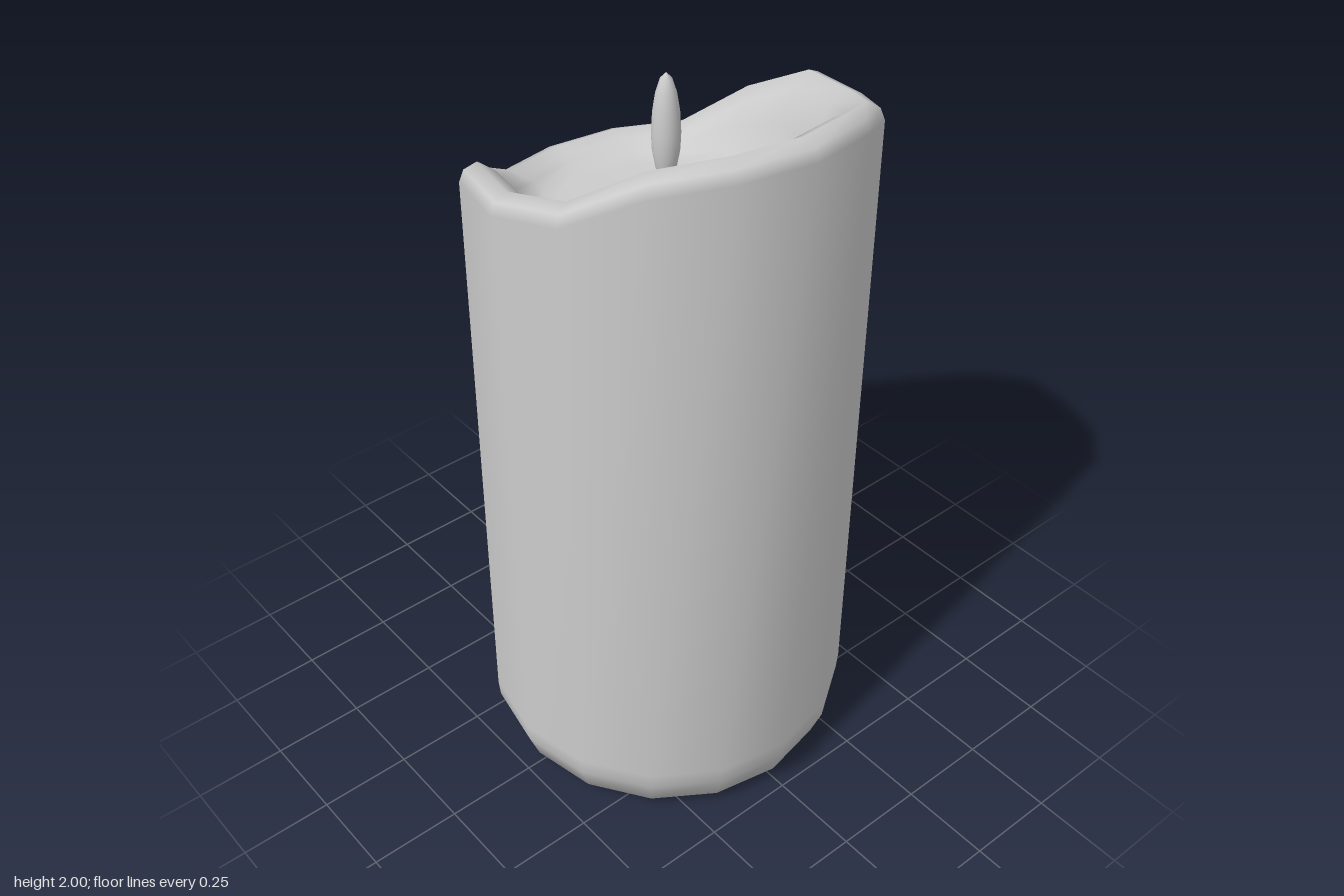
import * as THREE from 'three';

const SIDES = 16;
const FLOOR = 1.575;
// Rim height per side, starting at the front and turning towards +x
const RIM = [2.0, 1.987, 1.92, 1.86, 1.835, 1.74, 1.62, 1.61, 1.605, 1.61, 1.71, 1.82, 1.835, 1.875, 1.975, 2.0];
// Dent in the lower bevel
const DENT = { 4: 0.012, 5: 0.025, 6: 0.018 };

// Cross-section [radius, height] of the wax at one side, from bottom opening to pool centre
function section(k) {
  const top = RIM[k];
  const depth = top - FLOOR;
  const dent = DENT[k] || 0;
  const back = Math.max(0, -Math.cos((k / SIDES) * Math.PI * 2));
  const lean = 0.022 * back; // the back wall tapers inwards
  return [
    [0.37, 0.005],
    [0.46 - dent, 0.04],
    [0.49 - dent, 0.12],
    [0.494, 0.17],
    [0.494 - lean, top - 0.045],
    [0.482 - lean, top - 0.015],
    [0.45 - lean, top],
    [0.405 - lean * 0.5, top - Math.min(0.03, depth * 0.3)],
    [0.365, FLOOR + depth * 0.55],
    [0.34, FLOOR + depth * 0.18],
    [0.30, FLOOR + depth * 0.03],
    [0.2, FLOOR],
    [0.0, FLOOR],
  ];
}

function waxGeometry() {
  const positions = [];
  const index = [];
  const rings = section(0).length;
  for (let k = 0; k < SIDES; k++) {
    const a = (k / SIDES) * Math.PI * 2;
    for (const [r, y] of section(k)) positions.push(r * Math.sin(a), y, r * Math.cos(a));
  }
  for (let k = 0; k < SIDES; k++) {
    const c = k * rings;
    const n = ((k + 1) % SIDES) * rings;
    for (let i = 0; i < rings - 1; i++) {
      index.push(c + i, n + i, n + i + 1);
      if (i < rings - 2) index.push(c + i, n + i + 1, c + i + 1);
    }
  }
  const g = new THREE.BufferGeometry();
  g.setAttribute('position', new THREE.Float32BufferAttribute(positions, 3));
  g.setIndex(index);
  g.computeVertexNormals();
  return g;
}

export function createModel() {
  const group = new THREE.Group();
  group.name = 'candle';
  const grey = new THREE.MeshStandardMaterial({ color: 0xcccccc });
  const shell = new THREE.MeshStandardMaterial({ color: 0xcccccc, side: THREE.DoubleSide });

  const add = (name, geometry, material, y) => {
    const mesh = new THREE.Mesh(geometry, material);
    mesh.name = name;
    mesh.position.y = y;
    group.add(mesh);
  };

  // Hollow wax body with a slanted, melted rim
  add('waxBody', waxGeometry(), shell, 0);

  // Wick standing in the pool
  add('wick', new THREE.CylinderGeometry(0.013, 0.013, 0.16, 12), grey, FLOOR + 0.07);

  // Slim teardrop flame
  const flame = [
    [0, 0], [0.014, 0.006], [0.025, 0.035], [0.033, 0.08], [0.035, 0.125],
    [0.032, 0.18], [0.025, 0.225], [0.014, 0.26], [0, 0.275],
  ].map(([r, y]) => new THREE.Vector2(r, y));
  add('flame', new THREE.LatheGeometry(flame, 20), grey, 1.697);

  return group;
}
